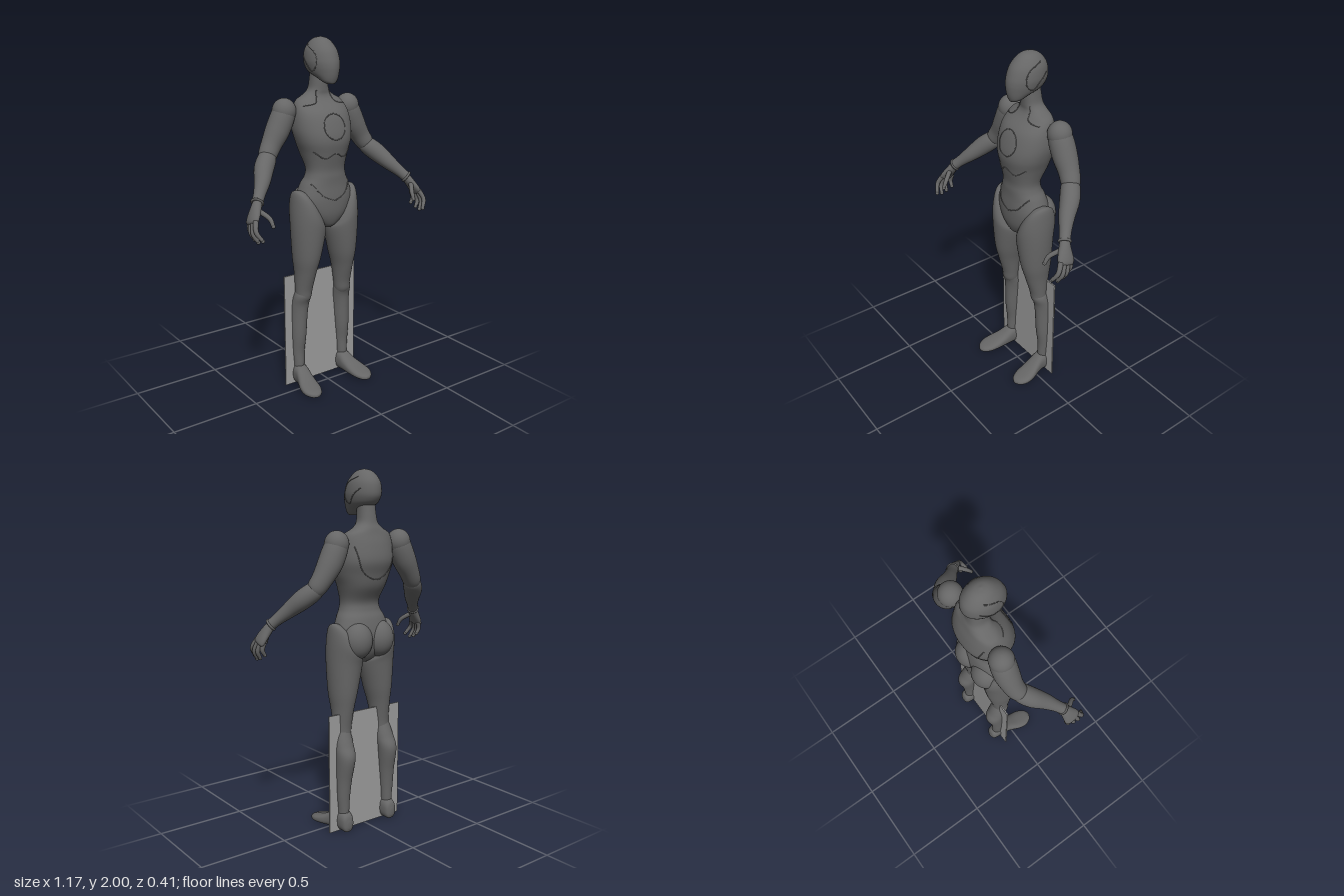
import * as THREE from 'three';

const bodyGrey = new THREE.MeshStandardMaterial({ color: 0x666666 });
bodyGrey.name = 'body grey';
const panelGrey = new THREE.MeshStandardMaterial({ color: 0x9c9c9c });
panelGrey.name = 'panel grey';

const X = new THREE.Vector3(1, 0, 0), Y = new THREE.Vector3(0, 1, 0), Z = new THREE.Vector3(0, 0, 1);

// Smooth skin over rows of [x, y, z, radiusU, radiusV, tilt].
// axes: [u, v] for fixed ring planes; left out, the rings follow the path.
function loft(rows, { axes = null, power = 2, seg = 40, steps = 6 } = {}) {
  const flat = rows.flatMap(([x, y, z, a, b = a, tilt = 0]) => [x, y, z, a, b, tilt]);
  const curve = new THREE.CubicInterpolant(rows.map((_, i) => i), flat, 6, new Float32Array(6));
  const n = (rows.length - 1) * steps;
  const rings = [];
  for (let i = 0; i <= n; i++) rings.push(Array.from(curve.evaluate(i / steps)));
  const centre = (i) => new THREE.Vector3(...rings[Math.min(Math.max(i, 0), n)].slice(0, 3));
  const round = (c) => Math.sign(c) * Math.abs(c) ** (2 / power);
  const pos = [], index = [];
  rings.forEach(([, , , a, b, tilt], i) => {
    let [u, v] = axes || [];
    if (!axes) {
      const t = centre(i + 1).sub(centre(i - 1)).normalize();
      u = Z.clone().cross(t).normalize();
      v = t.clone().cross(u);
    }
    for (let j = 0; j < seg; j++) {
      const w = (j / seg) * Math.PI * 2, du = round(Math.cos(w)) * a;
      const p = centre(i).addScaledVector(u, du).addScaledVector(v, round(Math.sin(w)) * b);
      pos.push(p.x, p.y + tilt * du, p.z);
    }
  });
  for (let i = 0; i < n; i++) for (let j = 0; j < seg; j++) {
    const k = (j + 1) % seg, a = i * seg + j, b = i * seg + k;
    index.push(a, b, a + seg, b, b + seg, a + seg);
  }
  // end caps
  const first = pos.length / 3;
  pos.push(...centre(0).toArray(), ...centre(n).toArray());
  for (let j = 0; j < seg; j++) {
    const k = (j + 1) % seg;
    index.push(first, k, j, first + 1, n * seg + j, n * seg + k);
  }
  const geo = new THREE.BufferGeometry();
  geo.setAttribute('position', new THREE.Float32BufferAttribute(pos, 3));
  geo.setIndex(index);
  geo.computeVertexNormals();
  return geo;
}

const ball = (x, y, z, a, b, c) => new THREE.SphereGeometry(1, 32, 24).scale(a, b, c).translate(x, y, z);

function mirrored(geo) {
  const m = geo.clone().scale(-1, 1, 1), ix = m.index;
  for (let i = 0; i < ix.count; i += 3) {
    const b = ix.getX(i + 1);
    ix.setX(i + 1, ix.getX(i + 2));
    ix.setX(i + 2, b);
  }
  m.computeVertexNormals();
  return m;
}

// Thin line laid on a surface by casting points along a direction
function seam(target, points, dir, closed = false) {
  const ray = new THREE.Raycaster(), hits = [];
  const guide = new THREE.CatmullRomCurve3(points.map((p) => new THREE.Vector3(...p)), closed);
  for (const p of guide.getPoints(40).slice(0, closed ? 40 : 41)) {
    ray.set(p.addScaledVector(dir, -1), dir);
    const hit = ray.intersectObject(target)[0];
    if (hit) hits.push(hit.point);
  }
  return new THREE.TubeGeometry(new THREE.CatmullRomCurve3(hits, closed), 64, 0.0028, 6, closed);
}

export function createModel() {
  const model = new THREE.Group();
  const add = (name, geo, mat = bodyGrey) => {
    const mesh = new THREE.Mesh(geo, mat);
    mesh.name = name;
    model.add(mesh);
    return mesh;
  };
  const pair = (name, geo) => {
    add('left ' + name, geo);
    add('right ' + name, mirrored(geo));
  };
  const flatRings = [X, Z];

  // Head, an egg with a forward chin: [y, half width, front z, back z]
  const head = add('head', loft([
    [2.0, 0.004, -0.066, -0.074], [1.992, 0.032, -0.03, -0.112], [1.97, 0.058, 0.002, -0.145],
    [1.93, 0.08, 0.036, -0.172], [1.88, 0.087, 0.056, -0.179], [1.845, 0.083, 0.062, -0.17],
    [1.815, 0.073, 0.061, -0.142], [1.79, 0.057, 0.057, -0.075], [1.77, 0.042, 0.051, -0.03],
    [1.757, 0.022, 0.045, 0.0],
  ].map(([y, w, f, b]) => [0, y, (f + b) / 2, w, (f - b) / 2]), { axes: flatRings }));

  // Neck, chest, waist and pelvis in one skin
  const torso = add('torso', loft([
    [0, 1.85, -0.085, 0.046, 0.045], [0, 1.77, -0.09, 0.049, 0.052], [0, 1.72, -0.095, 0.058, 0.056],
    [0, 1.69, -0.1, 0.09, 0.062], [0, 1.66, -0.095, 0.14, 0.076], [0, 1.6, -0.075, 0.163, 0.115],
    [0, 1.52, -0.065, 0.17, 0.138], [0, 1.45, -0.05, 0.158, 0.135], [0, 1.38, -0.045, 0.135, 0.12],
    [0, 1.3, -0.03, 0.115, 0.09], [0, 1.25, -0.03, 0.122, 0.09], [0, 1.2, -0.04, 0.148, 0.1],
    [0, 1.12, -0.045, 0.17, 0.11], [0, 1.04, -0.045, 0.14, 0.105], [0, 0.98, -0.04, 0.07, 0.08],
    [0, 0.955, -0.035, 0.02, 0.05],
  ], { axes: flatRings, power: 2.25, seg: 56 }));
  pair('buttock', ball(0.075, 1.085, -0.105, 0.088, 0.105, 0.085));

  // Surface lines
  const back = Z.clone().negate();
  const circle = Array.from({ length: 16 }, (_, i) => {
    const a = (i / 16) * Math.PI * 2;
    return [Math.cos(a) * 0.068, 1.53 + Math.sin(a) * 0.068, 0];
  });
  add('chest ring', seam(torso, circle, back, true));
  add('rib line', seam(torso, [[-0.12, 1.4, 0], [-0.06, 1.36, 0], [0, 1.385, 0], [0.06, 1.36, 0], [0.12, 1.4, 0]], back));
  add('back yoke line', seam(torso, [[-0.13, 1.6, 0], [-0.09, 1.47, 0], [0, 1.42, 0], [0.09, 1.47, 0], [0.13, 1.6, 0]], Z));
  pair('collar line', seam(torso, [[0.04, 1.72, 0], [0.06, 1.66, 0], [0.135, 1.64, 0]], back));
  pair('hip line', seam(torso, [[0.125, 1.22, 0], [0.07, 1.15, 0], [0, 1.12, 0]], back));
  pair('temple line', seam(head, [[0, 1.96, -0.1], [0, 1.92, -0.02], [0, 1.86, 0.0], [0, 1.82, -0.04],
    [0, 1.86, -0.08], [0, 1.9, -0.13]], X.clone().negate()));

  // Legs
  pair('thigh', loft([
    [0.13, 1.15, -0.035, 0.03, 0.045, 1], [0.122, 1.1, -0.042, 0.074, 0.09, 1],
    [0.115, 1.03, -0.043, 0.093, 0.113, 0.7], [0.113, 0.95, -0.037, 0.097, 0.108, 0.2],
    [0.123, 0.8, -0.038, 0.079, 0.093], [0.13, 0.7, -0.043, 0.061, 0.073],
    [0.135, 0.6, -0.05, 0.051, 0.052], [0.138, 0.54, -0.055, 0.045, 0.046], [0.14, 0.5, -0.065, 0.03, 0.03],
  ], { axes: flatRings }));
  pair('shin', loft([
    [0.138, 0.61, -0.055, 0.03, 0.03], [0.142, 0.56, -0.056, 0.049, 0.05], [0.146, 0.5, -0.078, 0.054, 0.054],
    [0.15, 0.43, -0.095, 0.054, 0.065], [0.155, 0.3, -0.085, 0.046, 0.051], [0.158, 0.2, -0.085, 0.039, 0.04],
    [0.157, 0.12, -0.083, 0.033, 0.038], [0.157, 0.05, -0.083, 0.03, 0.035],
  ], { axes: flatRings }));
  pair('foot', loft([
    [0.156, 0.042, -0.145, 0.012, 0.018], [0.156, 0.05, -0.132, 0.034, 0.05], [0.156, 0.06, -0.09, 0.043, 0.06],
    [0.158, 0.055, -0.04, 0.045, 0.055], [0.165, 0.043, 0, 0.05, 0.043], [0.176, 0.031, 0.05, 0.058, 0.031],
    [0.182, 0.023, 0.1, 0.057, 0.023], [0.183, 0.017, 0.14, 0.038, 0.017], [0.182, 0.014, 0.158, 0.012, 0.008],
  ], { axes: [X, Y], power: 2.5 }));

  // Arms
  pair('shoulder cap', ball(0.213, 1.612, -0.11, 0.066, 0.071, 0.066));
  pair('upper arm', loft([
    [0.19, 1.65, -0.11, 0.04], [0.215, 1.6, -0.11, 0.064], [0.255, 1.515, -0.11, 0.067],
    [0.3, 1.44, -0.105, 0.057], [0.335, 1.385, -0.092, 0.05], [0.352, 1.362, -0.083, 0.034],
  ]));
  pair('forearm', loft([
    [0.322, 1.398, -0.097, 0.034], [0.34, 1.375, -0.085, 0.05], [0.385, 1.33, -0.045, 0.053],
    [0.43, 1.275, 0.01, 0.043], [0.475, 1.225, 0.055, 0.032], [0.507, 1.19, 0.085, 0.03],
  ]));
  const cuff = new THREE.TorusGeometry(0.029, 0.007, 10, 32);
  cuff.applyQuaternion(new THREE.Quaternion().setFromUnitVectors(Z, new THREE.Vector3(0.6, -0.62, 0.5).normalize()));
  pair('wrist cuff', cuff.translate(0.505, 1.192, 0.083));

  // Hands
  pair('palm', loft([
    [0.498, 1.2, 0.077, 0.022, 0.024], [0.52, 1.165, 0.093, 0.025, 0.034],
    [0.545, 1.125, 0.108, 0.022, 0.046], [0.558, 1.1, 0.115, 0.018, 0.046], [0.562, 1.09, 0.118, 0.008, 0.036],
  ], { seg: 24 }));
  const digits = {
    'index finger': [[0.553, 1.115, 0.145], [0.568, 1.065, 0.172], [0.543, 1.018, 0.193]],
    'middle finger': [[0.557, 1.105, 0.127], [0.571, 1.05, 0.146], [0.549, 1.004, 0.158]],
    'ring finger': [[0.556, 1.1, 0.105], [0.568, 1.05, 0.117], [0.55, 1.012, 0.124]],
    'little finger': [[0.55, 1.1, 0.082], [0.558, 1.062, 0.086], [0.543, 1.032, 0.089]],
    thumb: [[0.515, 1.155, 0.115], [0.482, 1.12, 0.162], [0.475, 1.082, 0.186]],
  };
  for (const [name, [a, b, c]] of Object.entries(digits)) {
    pair(name, loft([[...a, 0.014], [...b, 0.0125], [...c, 0.0095]], { seg: 14 }));
    pair(name + ' tip', ball(...c, 0.0105, 0.0105, 0.0105));
  }

  // Upright panel through the lower legs
  add('panel', new THREE.BoxGeometry(0.5, 0.68, 0.008).translate(0, 0.34, -0.08), panelGrey);
  return model;
}
